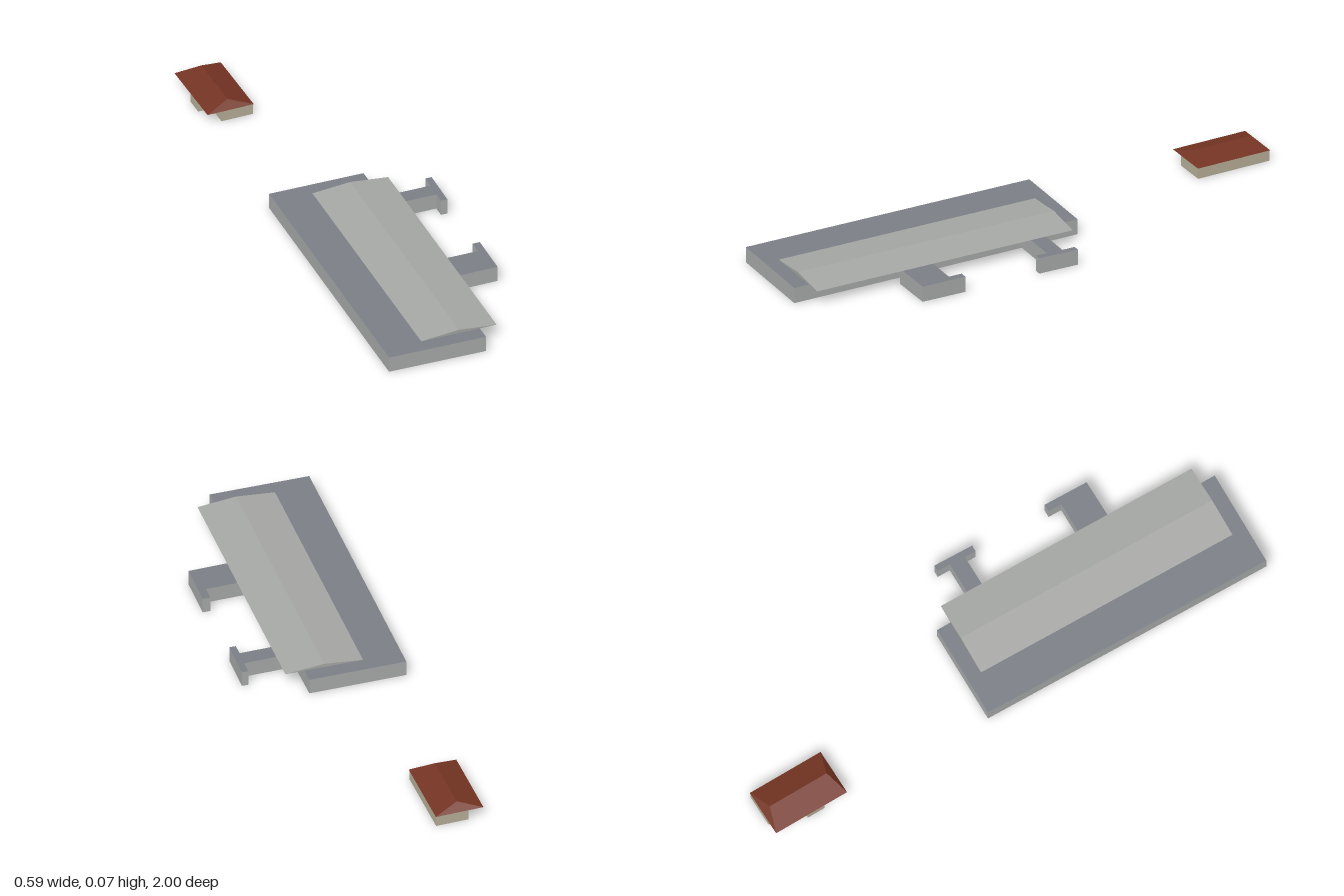
import * as THREE from 'three';

const mat = (name, color) => new THREE.MeshStandardMaterial({ name, color, side: THREE.DoubleSide, flatShading: true });

// Flat-shaded geometry from triangles and quads given as corner lists
function facesGeometry(faces) {
  const pos = [];
  for (const f of faces)
    for (let i = 1; i < f.length - 1; i++) pos.push(...f[0], ...f[i], ...f[i + 1]);
  const g = new THREE.BufferGeometry();
  g.setAttribute('position', new THREE.Float32BufferAttribute(pos, 3));
  g.computeVertexNormals();
  return g;
}

// Vertical walls around an [x, z] outline (counter-clockwise seen from above)
function wallsGeometry(outline, h) {
  return facesGeometry(outline.map(([x, z], i) => {
    const [u, w] = outline[(i + 1) % outline.length];
    return [[x, 0, z], [u, 0, w], [u, h, w], [x, h, z]];
  }));
}

// Flat roof filling an [x, z] outline
function flatRoofGeometry(outline, h) {
  const shape = new THREE.Shape(outline.map(([x, z]) => new THREE.Vector2(x, -z)));
  return new THREE.ShapeGeometry(shape).rotateX(-Math.PI / 2).translate(0, h, 0);
}

// Two slopes and two ends from four eave corners and two ridge points
function ridgedRoofGeometry([fl, fr, br, bl], [rf, rb], eave, top) {
  const e = ([x, z]) => [x, eave, z], r = ([x, z]) => [x, top, z];
  return facesGeometry([
    [e(fr), e(br), r(rb), r(rf)],
    [e(bl), e(fl), r(rf), r(rb)],
    [e(fl), e(fr), r(rf)],
    [e(br), e(bl), r(rb)],
  ]);
}

export function createModel() {
  const model = new THREE.Group();
  const wallGrey = mat('wall grey', 0xa6a9a8);
  const roofGrey = mat('flat roof grey', 0x7b7f86);
  const metalGrey = mat('pitched roof grey', 0xa5a7a4);
  const tileRed = mat('tile red', 0x743322);
  const cream = mat('cream wall', 0xb5ad97);
  const add = (parent, name, geometry, material) => {
    const m = new THREE.Mesh(geometry, material);
    m.name = name;
    parent.add(m);
  };

  // Long hall with two T-shaped side wings
  const hall = new THREE.Group();
  hall.name = 'hall';
  const H = 0.059;
  const outline = [
    [-0.297, 0.987], [0.067, 1.0],
    // front wing
    [0.076, 0.55], [0.118, 0.55], [0.118, 0.604], [0.281, 0.606],
    [0.287, 0.437], [0.259, 0.436], [0.258, 0.487], [0.078, 0.483],
    // back wing
    [0.084, 0.094], [0.268, 0.098], [0.267, 0.141], [0.291, 0.142],
    [0.297, -0.01], [0.273, -0.011], [0.272, 0.038], [0.086, 0.034],
    [0.088, -0.128], [-0.267, -0.138],
  ];
  add(hall, 'hallWalls', wallsGeometry(outline, H), wallGrey);
  add(hall, 'flatRoof', flatRoofGeometry(outline, H), roofGrey);
  add(hall, 'pitchedRoof', ridgedRoofGeometry(
    [[-0.153, 0.937], [0.131, 0.944], [0.157, -0.07], [-0.127, -0.08]],
    [[-0.011, 0.941], [0.015, -0.075]], H + 0.0005, 0.073), metalGrey);
  model.add(hall);

  // Small house with a porch bump and hipped roof
  const house = new THREE.Group();
  house.name = 'house';
  add(house, 'houseWalls', wallsGeometry([
    [-0.2, -0.711], [-0.08, -0.711], [-0.08, -0.998], [-0.2, -0.998],
    [-0.2, -0.867], [-0.25, -0.867], [-0.25, -0.8], [-0.2, -0.8],
  ], 0.041), cream);
  add(house, 'hippedRoof', ridgedRoofGeometry(
    [[-0.254, -0.709], [-0.078, -0.709], [-0.078, -1.0], [-0.254, -1.0]],
    [[-0.165, -0.738], [-0.165, -0.971]], 0.041, 0.068), tileRed);
  model.add(house);

  return model;
}
